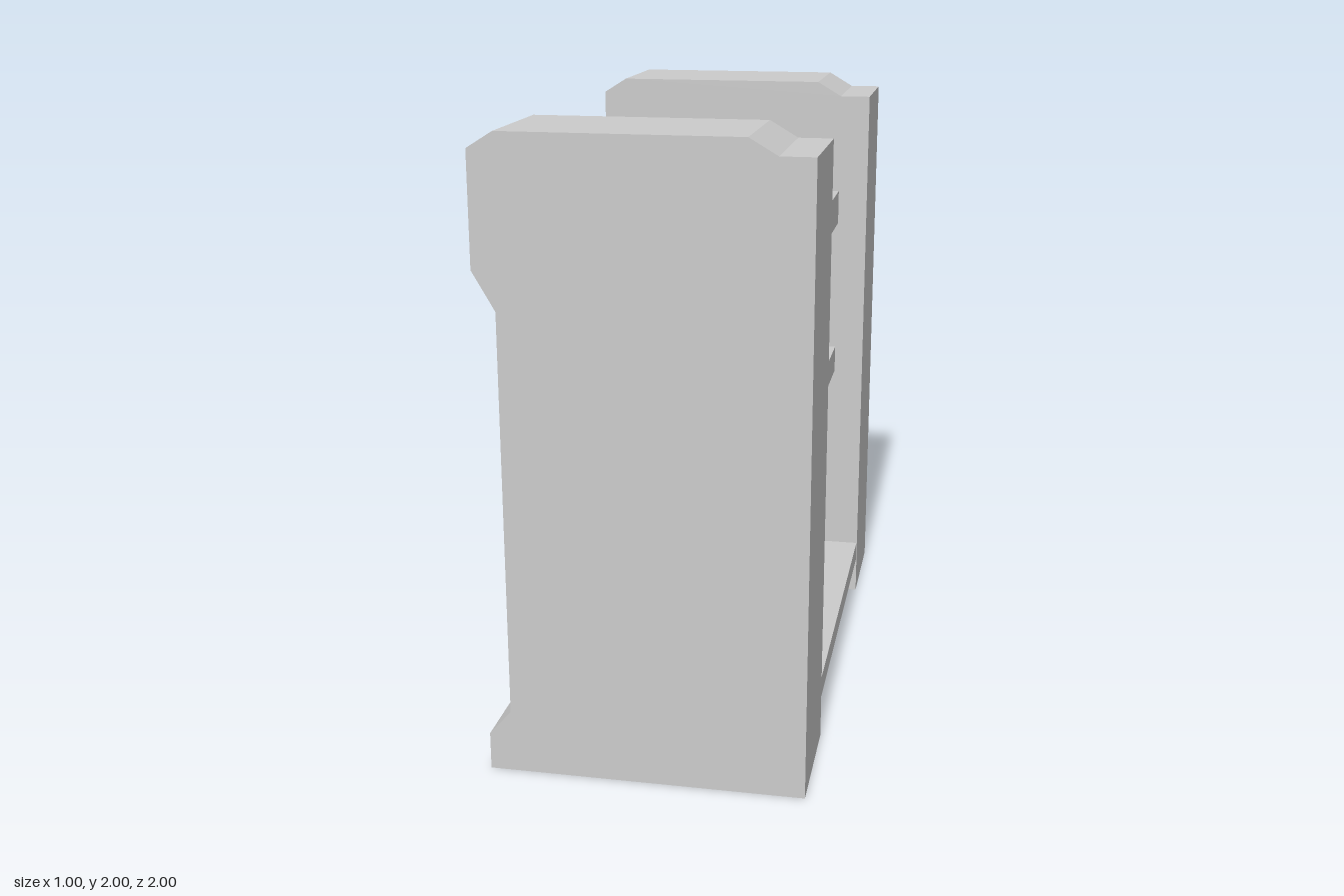
import * as THREE from 'three';

const material = new THREE.MeshStandardMaterial({ color: 0xcccccc, flatShading: true });

// Side outline of an end panel, as [x, y]
const PROFILE = [
  [-0.5, 0], [0.495, 0], [0.495, 1.95], [0.39, 1.95], [0.305, 2], [-0.42, 2],
  [-0.5, 1.95], [-0.5, 1.6], [-0.43, 1.48], [-0.43, 0.2], [-0.5, 0.12],
];
const INNER = 0.6; // z of the panels' inner faces
const THICK = 0.4;

// Box spanning the gap between the panels
function crossbar(name, x0, x1, y0, y1) {
  const mesh = new THREE.Mesh(new THREE.BoxGeometry(x1 - x0, y1 - y0, 2 * INNER), material);
  mesh.position.set((x0 + x1) / 2, (y0 + y1) / 2, 0);
  mesh.name = name;
  return mesh;
}

export function createModel() {
  const model = new THREE.Group();
  model.name = 'rack';

  // Thick end panels, front and back
  const shape = new THREE.Shape(PROFILE.map(([x, y]) => new THREE.Vector2(x, y)));
  const panel = new THREE.ExtrudeGeometry(shape, { depth: THICK, bevelEnabled: false });
  for (const [name, z] of [['frontPanel', INNER], ['backPanel', -INNER - THICK]]) {
    const mesh = new THREE.Mesh(panel, material);
    mesh.position.z = z;
    mesh.name = name;
    model.add(mesh);
  }

  // Bottom shelf and two rails
  model.add(
    crossbar('bottomShelf', -0.42, 0.493, 0.13, 0.2),
    crossbar('middleRail', 0.307, 0.39, 0.905, 1.0),
    crossbar('topRail', 0.307, 0.39, 1.48, 1.6),
  );
  return model;
}
